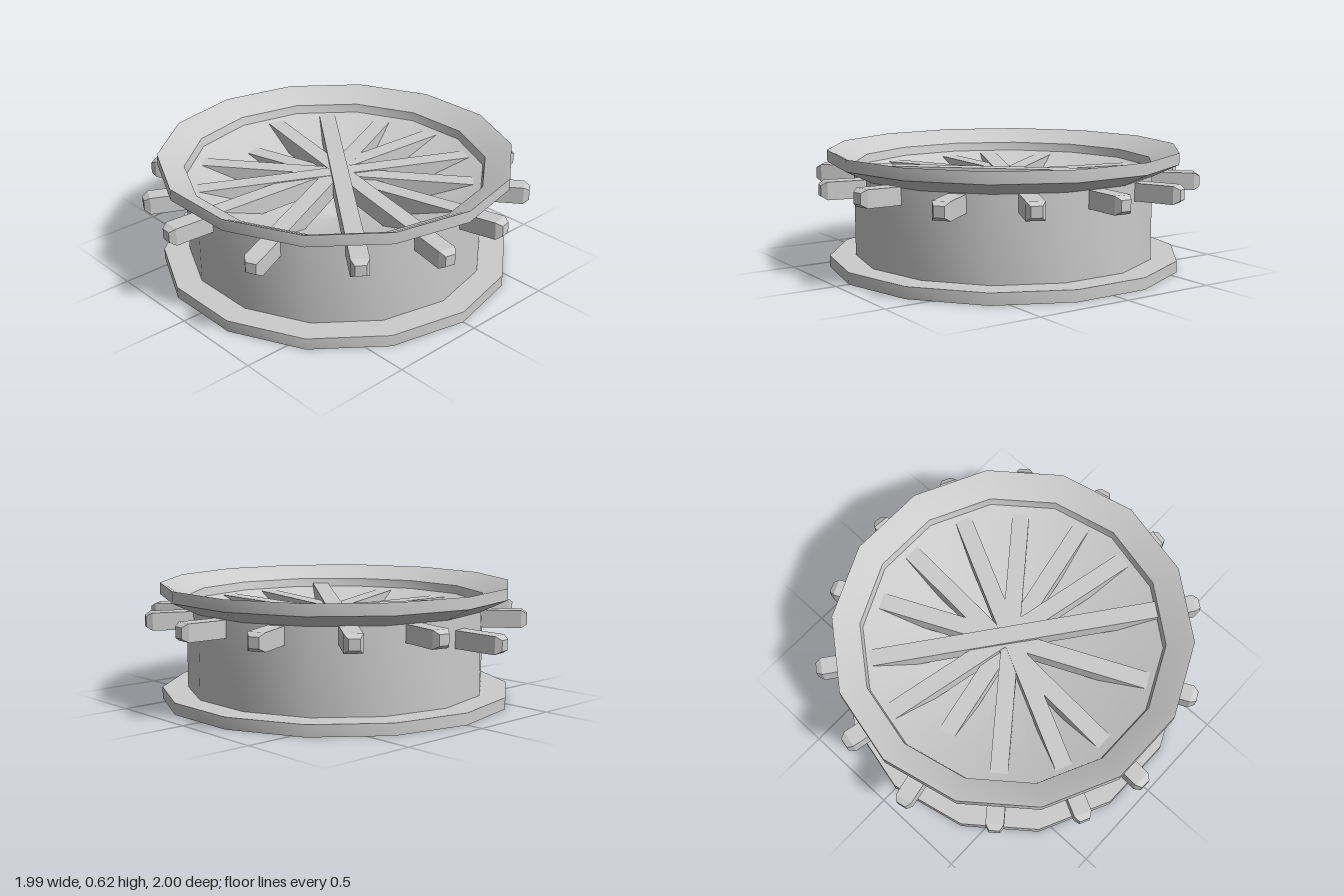
import * as THREE from 'three';
import { toCreasedNormals } from 'three/addons/utils/BufferGeometryUtils.js';

const SIDES = 14;
const CENTER_X = 0.01;

export function createModel() {
  const model = new THREE.Group();
  const smooth = new THREE.MeshStandardMaterial({ color: 0xcccccc, side: THREE.DoubleSide });
  const flat = new THREE.MeshStandardMaterial({ color: 0xcccccc, flatShading: true });

  // Turn a [radius, height] profile into a 14-sided ring with a corner on the x axis
  function turned(name, profile) {
    const points = profile.map(([r, y]) => new THREE.Vector2(r, y));
    const geometry = new THREE.LatheGeometry(points, SIDES, Math.PI / 2);
    const mesh = new THREE.Mesh(toCreasedNormals(geometry, 0.6), smooth);
    mesh.name = name;
    mesh.position.x = CENTER_X;
    model.add(mesh);
  }

  // Base flange: hollowed underneath, with a recessed bottom plate
  turned('baseFlange', [
    [0, 0.07], [0.785, 0.07], [0.785, 0.047], [0.92, 0], [0.92, 0.06], [0.785, 0.06],
  ]);

  turned('drumWall', [[0.785, 0.06], [0.785, 0.5]]);

  // Upper dish: flared rim, short inner step and a floor sinking to the middle
  turned('upperDish', [
    [0.785, 0.49], [0.92, 0.555], [0.92, 0.615], [0.885, 0.6],
    [0.785, 0.545], [0.775, 0.5], [0, 0.22],
  ]);

  // Square bar from a to b whose last bit narrows at both ends
  function barGeometry(length) {
    const geometry = new THREE.BoxGeometry(0.09, 0.09, length, 1, 1, 3);
    const p = geometry.attributes.position;
    for (let i = 0; i < p.count; i++) {
      const z = p.getZ(i);
      if (Math.abs(z) < length / 2 - 0.001) {
        p.setZ(i, Math.sign(z) * (length / 2 - 0.03));
      } else {
        p.setX(i, p.getX(i) * 0.6);
        p.setY(i, p.getY(i) * 0.6);
      }
    }
    geometry.computeVertexNormals();
    return geometry;
  }

  // Seven crossing bars, each running right through the drum
  const bars = [
    [[0.02, 0.445, -1.0], [-0.1, 0.437, 1.0]],
    [[0.45, 0.445, -0.9], [-0.44, 0.445, 0.9]],
    [[0.79, 0.44, -0.63], [-0.78, 0.44, 0.61]],
    [[0.98, 0.46, -0.21], [-0.99, 0.375, 0.17]],
    [[0.985, 0.447, 0.185], [-0.97, 0.445, -0.24]],
    [[0.81, 0.477, 0.585], [-0.79, 0.445, -0.63]],
    [[0.42, 0.445, 0.9], [-0.42, 0.44, -0.9]],
  ];
  const crossBars = new THREE.Group();
  crossBars.name = 'crossBars';
  for (const [from, to] of bars) {
    const a = new THREE.Vector3(...from);
    const b = new THREE.Vector3(...to);
    const bar = new THREE.Mesh(barGeometry(a.distanceTo(b)), flat);
    bar.name = 'crossBar';
    bar.position.copy(a).add(b).multiplyScalar(0.5);
    bar.lookAt(b);
    crossBars.add(bar);
  }
  model.add(crossBars);

  return model;
}
